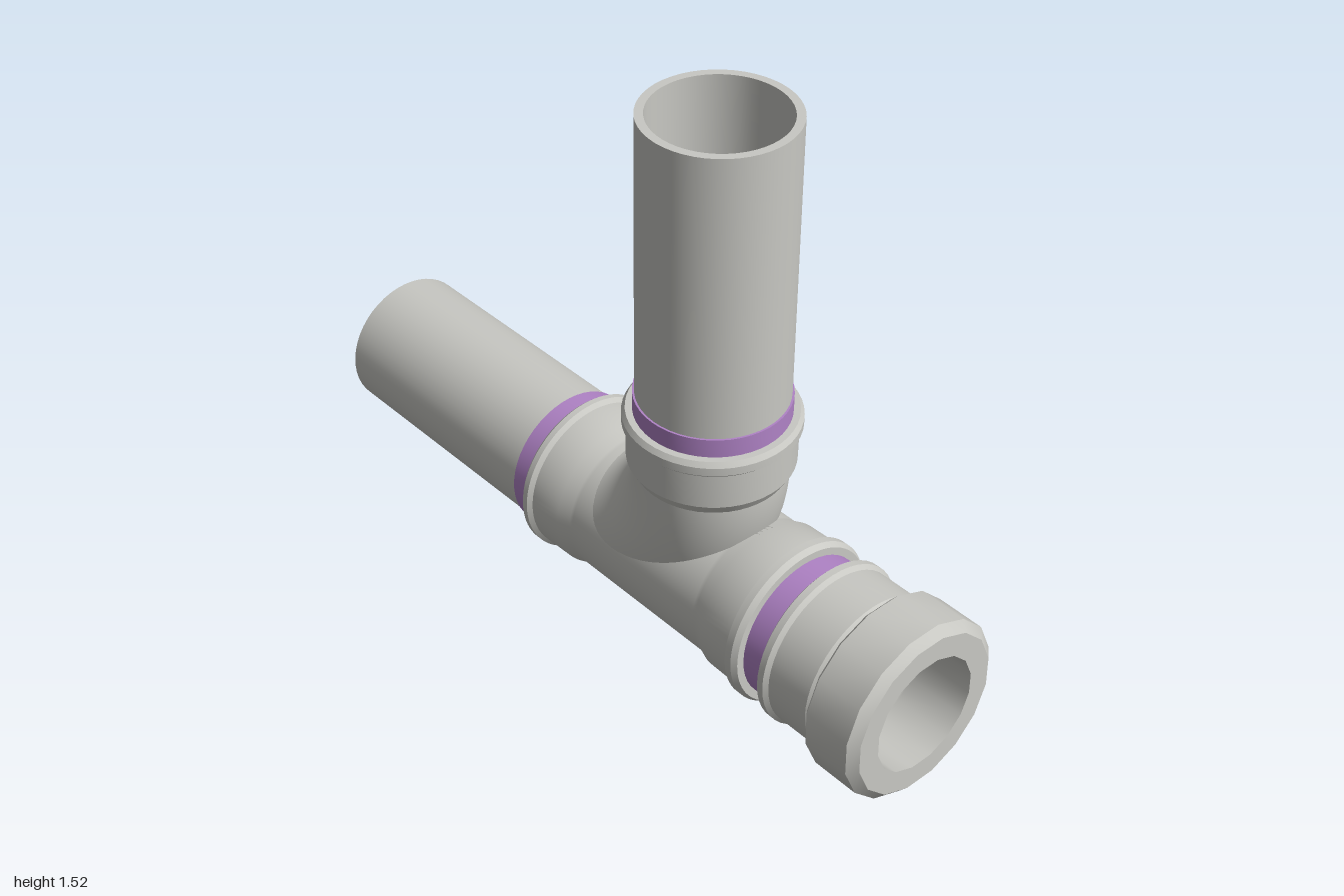
import * as THREE from 'three';
import { toCreasedNormals } from 'three/addons/utils/BufferGeometryUtils.js';

const TILT = 0.022, AXIS_Y = 0.228;           // main run slopes slightly
const BRANCH_X = 0.26, BEND_R = 0.324, ELBOW_R = 0.19, BODY_R = 0.195;
const BEND_X = BRANCH_X - BEND_R, BEND_Y = 0.55;

// Turned part from [position along axis, radius] pairs
function turned(profile, segments = 48, phi = 0, crease = 0.5) {
  const pts = profile.map(([a, r]) => new THREE.Vector2(r, a));
  return toCreasedNormals(new THREE.LatheGeometry(pts, segments, phi), crease);
}

// Lay a turned part along the sloping main run
function alongRun(geo) {
  return geo.rotateZ(-Math.PI / 2 + TILT).translate(0, AXIS_Y, 0);
}

// Hollow pipe profile, closed at both rims
const pipe = (a, b, ro, ri) => [[a, ri], [a, ro], [b, ro], [b, ri], [a, ri]];

// Remove triangles whose centre lies within another part
function cut(geo, inside) {
  const p = geo.attributes.position, n = geo.attributes.normal;
  const pos = [], nor = [];
  for (let i = 0; i < p.count; i += 3) {
    const mid = (get) => (p[get](i) + p[get](i + 1) + p[get](i + 2)) / 3;
    if (inside(mid('getX'), mid('getY'), mid('getZ'))) continue;
    for (let k = i; k < i + 3; k++) {
      pos.push(p.getX(k), p.getY(k), p.getZ(k));
      nor.push(n.getX(k), n.getY(k), n.getZ(k));
    }
  }
  const out = new THREE.BufferGeometry();
  out.setAttribute('position', new THREE.Float32BufferAttribute(pos, 3));
  out.setAttribute('normal', new THREE.Float32BufferAttribute(nor, 3));
  return out;
}

const insideElbow = (x, y, z) =>
  x > BEND_X && y < BEND_Y &&
  Math.hypot(Math.hypot(x - BEND_X, y - BEND_Y) - BEND_R, z) < ELBOW_R - 0.008;
const insideRun = (x, y, z) =>
  Math.hypot(y - AXIS_Y - TILT * x, z) < BODY_R - 0.008;

export function createModel() {
  const group = new THREE.Group();
  const mat = (name, color) => {
    const m = new THREE.MeshStandardMaterial({ color, side: THREE.DoubleSide });
    m.name = name;
    return m;
  };
  const grey = mat('pipe grey', 0xc8c8c3);
  const purple = mat('seal purple', 0xb083c6);
  const brown = mat('core brown', 0x9a8a6e);
  const add = (name, geo, material = grey) => {
    const mesh = new THREE.Mesh(geo, material);
    mesh.name = name;
    group.add(mesh);
  };

  // Plain pipes
  add('longPipe', alongRun(turned(pipe(-0.998, -0.1, 0.187, 0.166))));
  add('shortPipe', alongRun(turned(pipe(0.48, 0.8, 0.187, 0.166))));
  add('branchPipe', turned(pipe(0.6, 1.52, 0.187, 0.166)).translate(BRANCH_X, 0, 0));

  // Coloured bands beside each socket
  add('leftBand', alongRun(turned(pipe(-0.28, -0.21, 0.192, 0.18))), purple);
  add('rightBand', alongRun(turned(pipe(0.585, 0.665, 0.192, 0.18))), purple);
  add('branchBand', turned(pipe(0.71, 0.765, 0.192, 0.18)).translate(BRANCH_X, 0, 0), purple);

  // Tee body: flared socket at each end, opened where the branch enters
  const body = [[-0.217, 0.187], [-0.217, 0.212], [-0.208, 0.22], [-0.192, 0.22],
    [-0.182, 0.209], [-0.085, 0.207]];
  for (let x = -0.05; x < 0.425; x += 0.01) body.push([x, BODY_R]);
  body.push([0.455, 0.207], [0.55, 0.209], [0.556, 0.221], [0.576, 0.221],
    [0.59, 0.212], [0.59, 0.187]);
  add('teeBody', cut(alongRun(turned(body, 96)), insideElbow));

  // Swept branch joining the run
  const elbow = new THREE.TorusGeometry(BEND_R, ELBOW_R, 96, 64, Math.PI / 2)
    .rotateZ(-Math.PI / 2).translate(BEND_X, BEND_Y, 0).toNonIndexed();
  add('sweptBranch', cut(elbow, insideRun));

  // Branch socket
  add('branchSocket', turned([[0.545, 0.19], [0.575, 0.207], [0.67, 0.208],
    [0.68, 0.218], [0.702, 0.218], [0.715, 0.209], [0.715, 0.187]]).translate(BRANCH_X, 0, 0));

  // End coupling
  add('endCoupling', alongRun(turned([[0.66, 0.187], [0.66, 0.212], [0.666, 0.22],
    [0.684, 0.22], [0.694, 0.21], [0.815, 0.21], [0.84, 0.196], [0.86, 0.196]])));

  // Sixteen-sided end cap with an open bore
  add('endCap', alongRun(turned([[0.835, 0.155], [0.835, 0.228], [0.845, 0.24],
    [0.973, 0.24], [0.994, 0.216], [0.994, 0.155], [0.835, 0.155]], 16, Math.PI / 16)));

  // Faceted core running through the pipe
  add('innerCore', alongRun(turned([[-0.985, 0], [-0.985, 0.112], [0.55, 0.112],
    [0.55, 0]], 14, 0, 0.1)), brown);

  return group;
}
